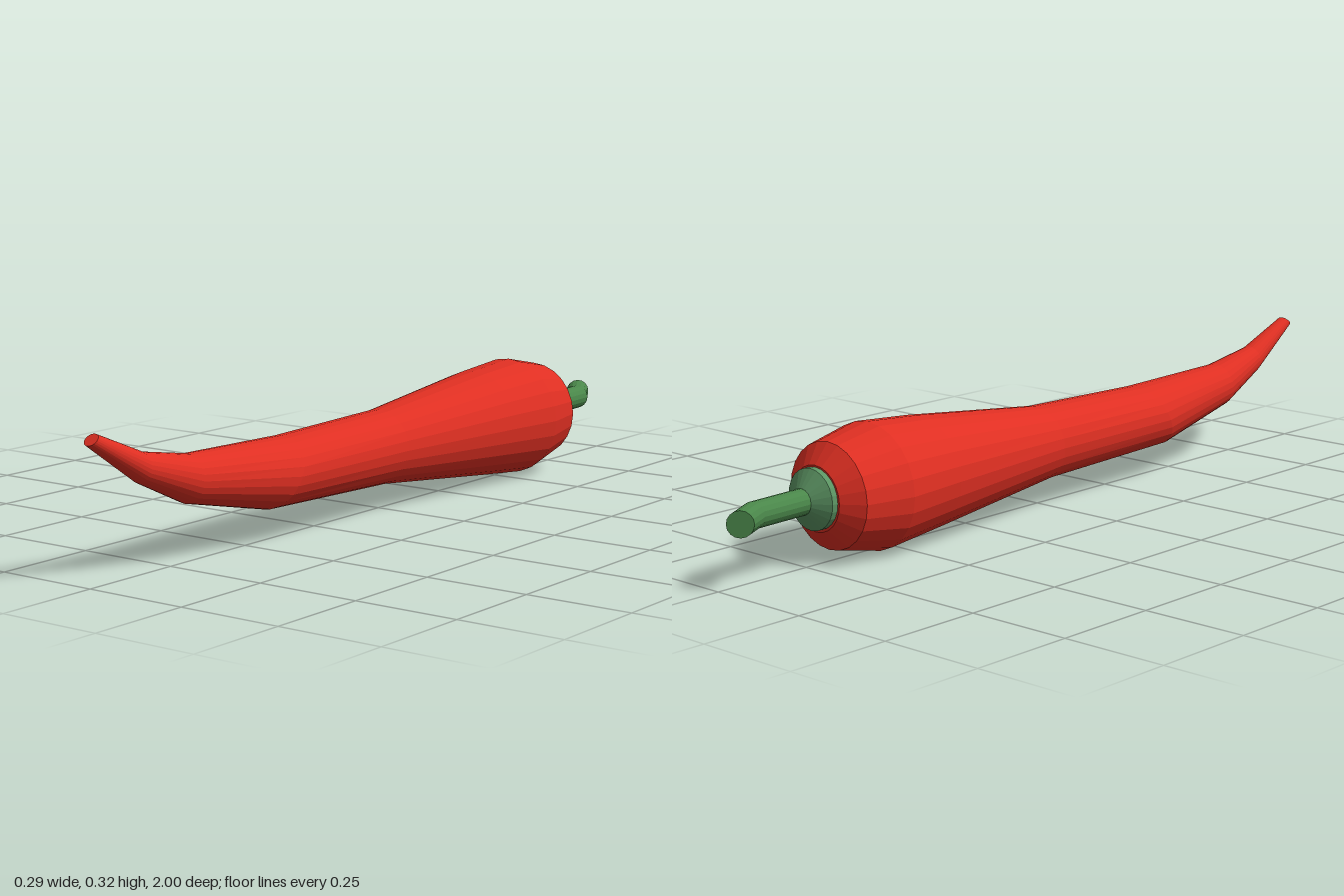
import * as THREE from 'three';

// Capped loft along -z through rings [x, y, z, radius, pitch, yaw]
function loft(name, color, rings, sides) {
  const pos = [], idx = [];
  const put = (r, radius, a) => {
    const p = new THREE.Vector3(radius * Math.sin(a), radius * Math.cos(a), 0);
    p.applyEuler(new THREE.Euler(-(r[4] || 0), r[5] || 0, 0));
    pos.push(p.x + r[0], p.y + r[1], p.z + r[2]);
  };
  rings.forEach(r => {
    for (let i = 0; i < sides; i++) put(r, r[3], (i / sides) * Math.PI * 2);
  });
  const last = rings.length - 1, front = rings.length * sides, back = front + 1;
  put(rings[0], 0, 0);
  put(rings[last], 0, 0);
  for (let i = 0; i < sides; i++) {
    const j = (i + 1) % sides;
    for (let k = 0; k < last; k++) {
      const a = k * sides + i, b = k * sides + j;
      idx.push(a, b, a + sides, b, b + sides, a + sides);
    }
    idx.push(front, j, i, back, last * sides + i, last * sides + j);
  }
  const geo = new THREE.BufferGeometry();
  geo.setAttribute('position', new THREE.Float32BufferAttribute(pos, 3));
  geo.setIndex(idx);
  geo.computeVertexNormals();
  const mesh = new THREE.Mesh(geo, new THREE.MeshStandardMaterial({ color, flatShading: true }));
  mesh.name = name;
  return mesh;
}

export function createModel() {
  const group = new THREE.Group();
  group.name = 'chiliPepper';

  // Tapering body, its tip curling upward at the front
  group.add(loft('body', 0xdf2f22, [
    [0, 0.313, 0.987, 0.017, 0.85],
    [0, 0.232, 0.84, 0.034, 0.2],
    [0, 0.185, 0.695, 0.055, 0.1],
    [0, 0.152, 0.40, 0.088, 0.45],
    [0, 0.15, 0, 0.09, 0.05],
    [0, 0.15, -0.4, 0.133],
    [0, 0.148, -0.56, 0.147],
    [0, 0.148, -0.68, 0.122],
    [0, 0.149, -0.718, 0.075],
  ], 24));

  // Cap between body and stem
  group.add(loft('calyx', 0x5c9463, [
    [0, 0.15, -0.71, 0.07],
    [0, 0.15, -0.733, 0.07],
    [0, 0.15, -0.76, 0.03],
  ], 24));

  // Bent stem
  group.add(loft('stem', 0x4a874a, [
    [0, 0.15, -0.74, 0.03],
    [-0.008, 0.15, -0.905, 0.03, 0, 0.35],
    [-0.05, 0.152, -0.977, 0.03, 0, 0.75],
  ], 16));

  return group;
}
